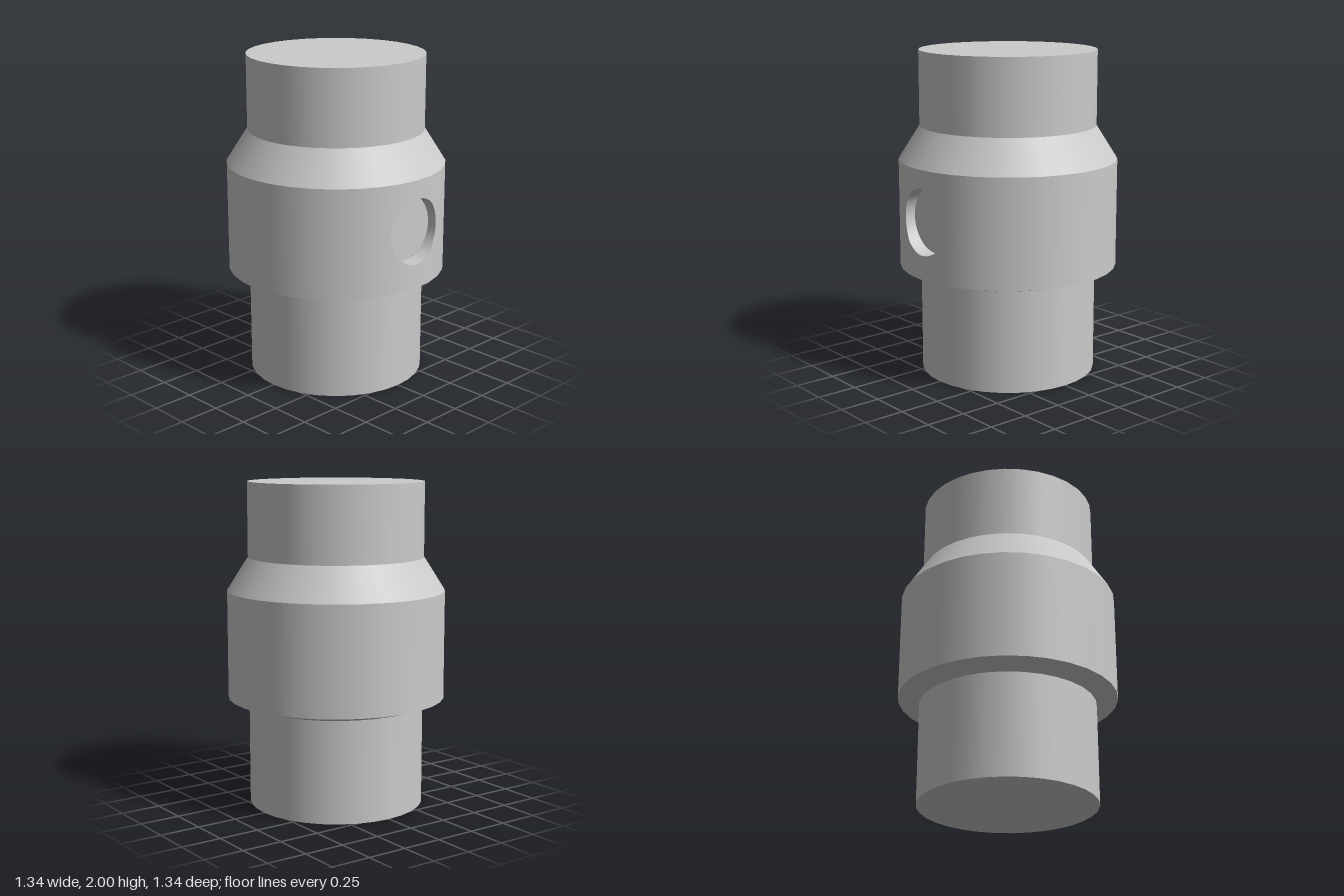
import * as THREE from 'three';

const SIDES = 32, STEP = (Math.PI * 2) / SIDES;
const NECK = 0.542, BODY = 0.672;
const Y = { lowNeck: 0.63, bodyBottom: 0.67, bodyTop: 1.335, highNeck: 1.54, top: 2 };
const HOLE = { x: 0.01, y: 1.02, r: 0.2, floor: 0.575 };
const PATCH = 2; // facets on each side of the front that hold the recess

const material = new THREE.MeshStandardMaterial({ color: 0xcccccc });

function add(group, name, geometry) {
  const mesh = new THREE.Mesh(geometry, material);
  mesh.name = name;
  group.add(mesh);
  return mesh;
}

// Straight turned section from (r0, y0) to (r1, y1)
function turned(r0, y0, r1, y1, skip = 0) {
  const pts = [new THREE.Vector2(r0, y0), new THREE.Vector2(r1, y1)];
  return new THREE.LatheGeometry(pts, SIDES - 2 * skip, skip * STEP, Math.PI * 2 - 2 * skip * STEP);
}

// Depth of the faceted body surface at x, on the front
function surfaceZ(x) {
  const k = Math.floor(Math.asin(x / BODY) / STEP + 1e-6);
  const x0 = BODY * Math.sin(k * STEP), x1 = BODY * Math.sin((k + 1) * STEP);
  const z0 = BODY * Math.cos(k * STEP), z1 = BODY * Math.cos((k + 1) * STEP);
  return THREE.MathUtils.lerp(z0, z1, (x - x0) / (x1 - x0));
}

// Skin between successive closed loops of points
function loft(loops) {
  const n = loops[0].length, index = [];
  for (let i = 0; i < loops.length - 1; i++) {
    for (let j = 0; j < n; j++) {
      const a = i * n + j, b = i * n + (j + 1) % n;
      index.push(a, b, a + n, b, b + n, a + n);
    }
  }
  const geometry = new THREE.BufferGeometry().setFromPoints(loops.flat());
  geometry.setIndex(index);
  geometry.computeVertexNormals();
  return geometry;
}

// Counter-clockwise outline of the front patch
function patchOutline() {
  const out = [], across = 16, up = 16;
  const xAt = (t) => BODY * Math.sin((t * 2 - 1) * PATCH * STEP);
  const yAt = (t) => THREE.MathUtils.lerp(Y.bodyBottom, Y.bodyTop, t);
  for (let i = 0; i < across; i++) out.push([xAt(i / across), yAt(0)]);
  for (let i = 0; i < up; i++) out.push([xAt(1), yAt(i / up)]);
  for (let i = 0; i < across; i++) out.push([xAt(1 - i / across), yAt(1)]);
  for (let i = 0; i < up; i++) out.push([xAt(0), yAt(1 - i / up)]);
  return out;
}

export function createModel() {
  const group = new THREE.Group();
  group.name = 'collaredCylinder';

  // Necks, end caps and the tapers of the collar
  add(group, 'bottomCap', turned(0, 0, NECK, 0));
  add(group, 'lowerNeck', turned(NECK, 0, NECK, Y.lowNeck));
  add(group, 'lowerTaper', turned(NECK, Y.lowNeck, BODY, Y.bodyBottom));
  add(group, 'upperTaper', turned(BODY, Y.bodyTop, NECK, Y.highNeck));
  add(group, 'upperNeck', turned(NECK, Y.highNeck, NECK, Y.top));
  add(group, 'topCap', turned(NECK, Y.top, 0, Y.top));

  // Collar wall, left open at the front for the recessed patch
  add(group, 'collar', turned(BODY, Y.bodyBottom, BODY, Y.bodyTop, PATCH));

  // Front patch, running from its outline in to the round hole
  const outline = patchOutline();
  const rim = outline.map(([x, y]) => {
    const a = Math.atan2(y - HOLE.y, x - HOLE.x);
    return [HOLE.x + HOLE.r * Math.cos(a), HOLE.y + HOLE.r * Math.sin(a)];
  });
  const rings = [];
  for (let i = 0; i <= 6; i++) {
    rings.push(outline.map(([x, y], j) => {
      const px = THREE.MathUtils.lerp(x, rim[j][0], i / 6);
      return new THREE.Vector3(px, THREE.MathUtils.lerp(y, rim[j][1], i / 6), surfaceZ(px));
    }));
  }
  const patch = loft(rings);
  const pos = patch.attributes.position, normal = patch.attributes.normal, v = new THREE.Vector3();
  for (let i = 0; i < pos.count; i++) {
    v.set(pos.getX(i), 0, pos.getZ(i)).normalize();
    normal.setXYZ(i, v.x, v.y, v.z);
  }
  add(group, 'collarFront', patch);

  // Flat-bottomed round recess
  const floorLoop = rim.map(([x, y]) => new THREE.Vector3(x, y, HOLE.floor));
  add(group, 'recessWall', loft([rings[6], floorLoop]));
  add(group, 'recessFloor', new THREE.CircleGeometry(HOLE.r, 64)).position.set(HOLE.x, HOLE.y, HOLE.floor);

  return group;
}
